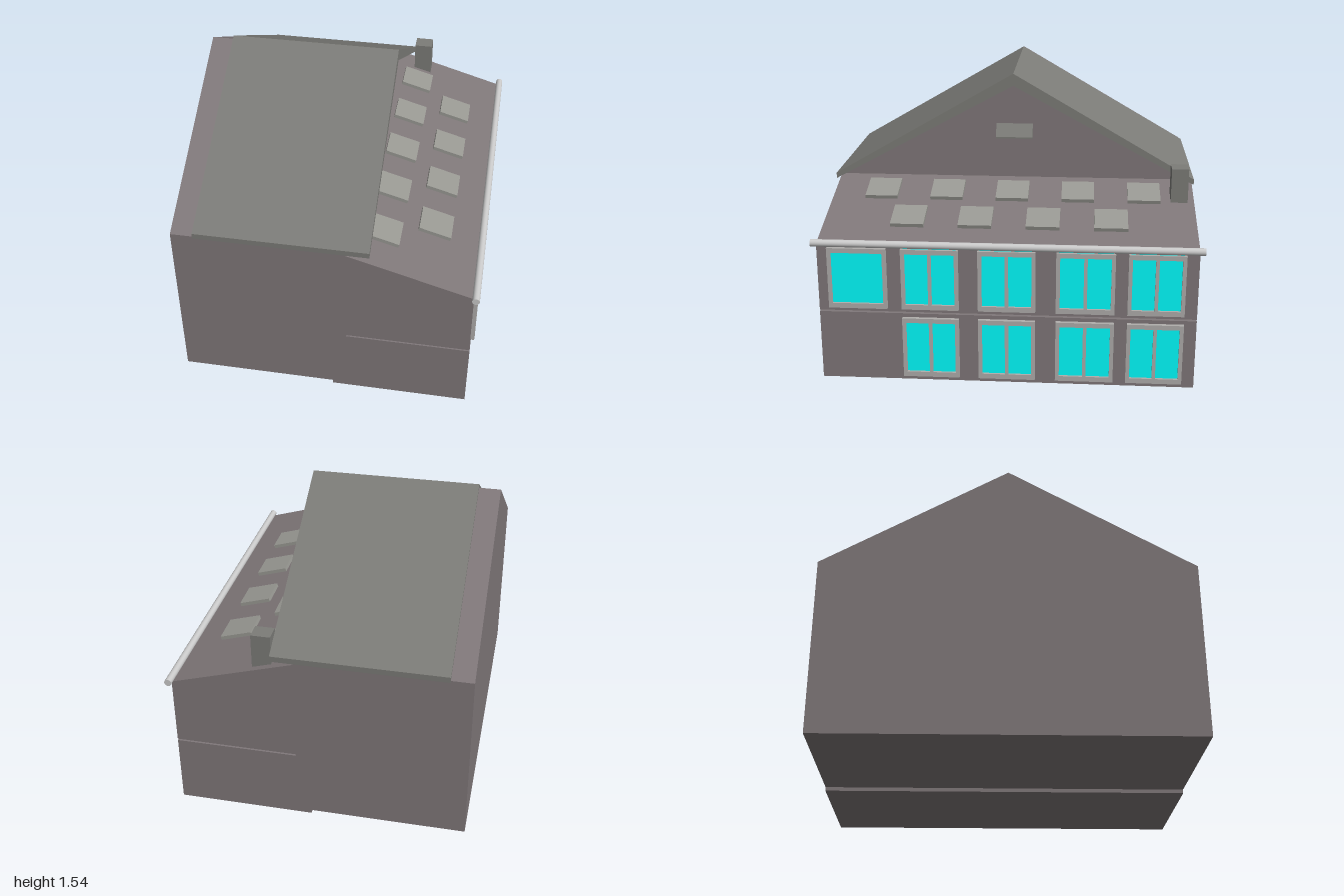
import * as THREE from 'three';

const mat = (color) => new THREE.MeshStandardMaterial({ color });

export function createModel() {
  const group = new THREE.Group();
  const wall = mat(0x80787a), roofing = mat(0x7c7c78), frameMat = mat(0xb0aeac);
  const glass = mat(0x00ffff), skylightMat = mat(0x9a9a94), metal = mat(0xcccccc);

  const add = (name, geometry, material, parent = group) => {
    const mesh = new THREE.Mesh(geometry, material);
    mesh.name = name;
    parent.add(mesh);
    return mesh;
  };
  // box given by its extents
  const box = (name, [x0, x1], [y0, y1], [z0, z1], material, parent) => {
    const g = new THREE.BoxGeometry(x1 - x0, y1 - y0, z1 - z0);
    g.translate((x0 + x1) / 2, (y0 + y1) / 2, (z0 + z1) / 2);
    return add(name, g, material, parent);
  };
  const polygon = (pts) => new THREE.Shape(pts.map(([a, b]) => new THREE.Vector2(a, b)));
  // profile drawn in (-z, y), pushed from x0 to x1
  const alongX = (shape, x0, x1) =>
    new THREE.ExtrudeGeometry(shape, { depth: x1 - x0, bevelEnabled: false })
      .rotateY(Math.PI / 2).translate(x0, 0, 0);
  // profile drawn in (x, y), pushed from z0 to z1
  const alongZ = (shape, z0, z1) =>
    new THREE.ExtrudeGeometry(shape, { depth: z1 - z0, bevelEnabled: false }).translate(0, 0, z0);

  // Main hall with gable ends
  const W = 0.975;
  add('mainHall', alongX(polygon([
    [-W, 0.02], [W, 0.02], [W, 0.955], [0, 1.52], [-W, 0.955],
  ]), -0.78, 0.11), wall);

  // Folded roof slab overhanging the gable
  const R = 0.978;
  add('mainRoof', alongX(polygon([
    [-R, 0.945], [0, 1.475], [R, 0.945], [R, 0.975], [0, 1.54], [-R, 0.975],
  ]), -0.665, 0.228), roofing);

  // Two-storey extension, with a thin gap between the floors
  box('extensionLower', [0.035, 0.75], [0, 0.375], [-W, W], wall);
  add('extensionUpper', alongZ(polygon([
    [0.1, 0.384], [0.75, 0.384], [0.75, 0.75], [0.11, 0.94], [0.1, 0.94],
  ]), -W, W), wall);

  // Skylights lying on the sloping extension roof
  const slope = Math.atan2(0.19, 0.64);
  const skylight = (x, z) => {
    const m = add('skylight', new THREE.BoxGeometry(0.175, 0.04, 0.175), skylightMat);
    m.position.set(x, 0.94 - (x - 0.11) * 0.19 / 0.64, z);
    m.rotation.z = -slope;
  };
  for (let i = -2; i <= 2; i++) skylight(0.263, i * 0.354);
  for (let i = -1.5; i <= 1.5; i++) skylight(0.512, i * 0.354);

  // Sloping hatch on the gable wall
  add('gableHatch', alongZ(polygon([
    [0.1, 1.17], [0.165, 1.17], [0.165, 1.178], [0.115, 1.243], [0.1, 1.243],
  ]), -0.1, 0.1), roofing);

  // Chimney and gutter
  box('chimney', [0.23, 0.33], [0.86, 1.06], [-0.94, -0.85], roofing);
  add('gutter', new THREE.CylinderGeometry(0.019, 0.019, 2, 20).rotateX(Math.PI / 2), metal)
    .position.set(0.761, 0.757, 0);

  // Window: pierced frame over a thin sheet of glass
  const windowUnit = (z0, z1, y0, y1, panes, glassTop) => {
    const unit = new THREE.Group();
    unit.name = 'window';
    group.add(unit);
    const shape = polygon([[-z1, y0], [-z0, y0], [-z0, y1], [-z1, y1]]);
    const side = 0.02, bar = 0.018;
    const pw = (z1 - z0 - 2 * side - (panes - 1) * bar) / panes;
    for (let i = 0; i < panes; i++) {
      const a = -z1 + side + i * (pw + bar), b = a + pw;
      shape.holes.push(polygon([[a, y0 + 0.027], [a, y1 - 0.025], [b, y1 - 0.025], [b, y0 + 0.027]]));
    }
    add('windowFrame', alongX(shape, 0.745, 0.77), frameMat, unit);
    box('windowGlass', [0.74, 0.757], [y0 + 0.01, glassTop], [z0 + 0.012, z1 - 0.012], glass, unit);
  };
  for (const [z0, z1] of [[0.245, 0.54], [-0.15, 0.145], [-0.555, -0.255], [-0.91, -0.62]]) {
    windowUnit(z0, z1, 0.405, 0.733, 2, 0.741);
    windowUnit(z0, z1, 0.025, 0.355, 2, 0.345);
  }
  windowUnit(0.615, 0.92, 0.405, 0.733, 1, 0.725);

  return group;
}
